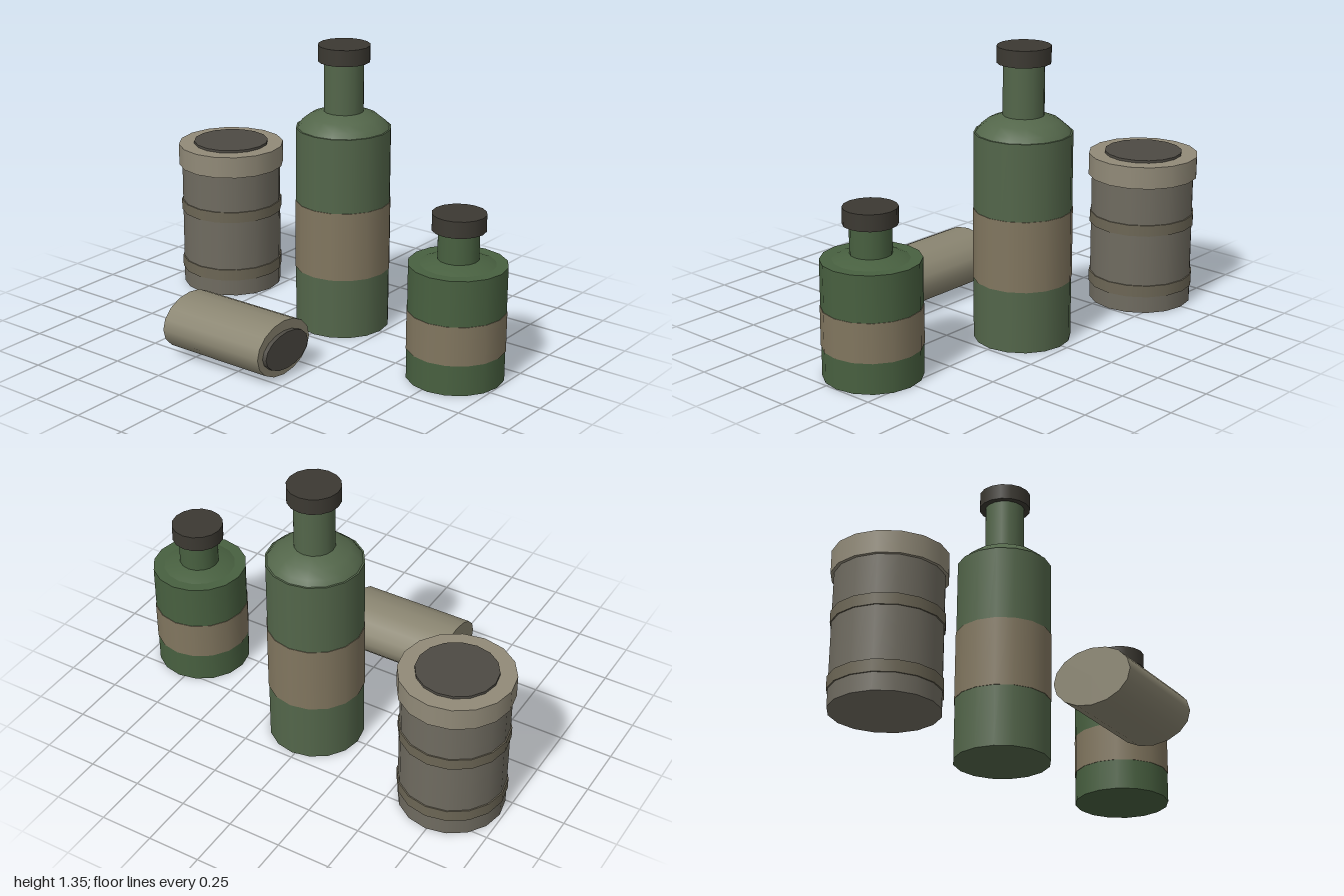
import * as THREE from 'three';

const SIDES = 16;
const material = (color) => new THREE.MeshStandardMaterial({ color, side: THREE.DoubleSide });
const tallGlass = material(0x53664a);
const shortGlass = material(0x486040);
const label = material(0x81765f);
const cap = material(0x3c3932);
const tin = material(0x6f6b60);
const band = material(0x6c6655);
const rim = material(0x918a78);
const lid = material(0x4d4a43);
const roll = material(0x8a8571);

// Upright cylinder between two heights
function drum(name, r, y0, y1, mat) {
  const mesh = new THREE.Mesh(new THREE.CylinderGeometry(r, r, y1 - y0, SIDES), mat);
  mesh.position.y = (y0 + y1) / 2;
  mesh.name = name;
  return mesh;
}

// Bottle with a body, domed shoulder, neck, cap and label
function bottle(name, glass, { body, shoulder, neckTop, capTop, labelFrom, labelTo }) {
  const group = new THREE.Group();
  group.name = name;
  const dome = new THREE.Mesh(
    new THREE.LatheGeometry(shoulder.map(([r, y]) => new THREE.Vector2(r, y)), SIDES), glass);
  dome.name = 'shoulder';
  group.add(
    drum('body', 0.22, 0, body, glass),
    dome,
    drum('neck', 0.092, body, neckTop, glass),
    drum('cap', 0.12, neckTop, capTop, cap),
    drum('label', 0.2225, labelFrom, labelTo, label),
  );
  return group;
}

export function createModel() {
  const model = new THREE.Group();
  model.name = 'bottlesAndCans';

  const tall = bottle('tallBottle', tallGlass, {
    body: 0.96, shoulder: [[0.212, 0.96], [0.195, 0.982], [0.158, 1.012], [0.1, 1.035], [0.08, 1.038]],
    neckTop: 1.27, capTop: 1.345, labelFrom: 0.285, labelTo: 0.61,
  });
  tall.position.set(0.015, 0, -0.25);

  const short = bottle('shortBottle', shortGlass, {
    body: 0.53, shoulder: [[0.168, 0.53], [0.135, 0.543], [0.09, 0.554], [0.08, 0.555]],
    neckTop: 0.685, capTop: 0.76, labelFrom: 0.14, labelTo: 0.32,
  });
  short.position.set(0.778, 0, -0.06);

  // Standing can with raised bands, rim and lid
  const can = new THREE.Group();
  can.name = 'standingCan';
  can.add(
    drum('body', 0.241, 0, 0.65, tin),
    drum('lowerBand', 0.247, 0.08, 0.135, band),
    drum('upperBand', 0.247, 0.38, 0.432, band),
    drum('rim', 0.256, 0.612, 0.715, rim),
    drum('lid', 0.181, 0.7, 0.727, lid),
  );
  can.position.set(-0.744, 0, -0.345);

  // Flattened can lying on its side, its lid towards +x
  const lying = new THREE.Group();
  lying.name = 'lyingCan';
  const shell = drum('body', 0.181, -0.355, 0.192, roll);
  shell.scale.x = 0.704;
  const end = drum('lid', 0.147, 0.18, 0.212, lid);
  end.scale.x = 0.588;
  end.position.x = 0.006;
  lying.add(shell, end);
  lying.rotation.z = -Math.PI / 2;
  lying.position.set(0, 0.138, 0.417);

  model.add(tall, short, can, lying);
  return model;
}
